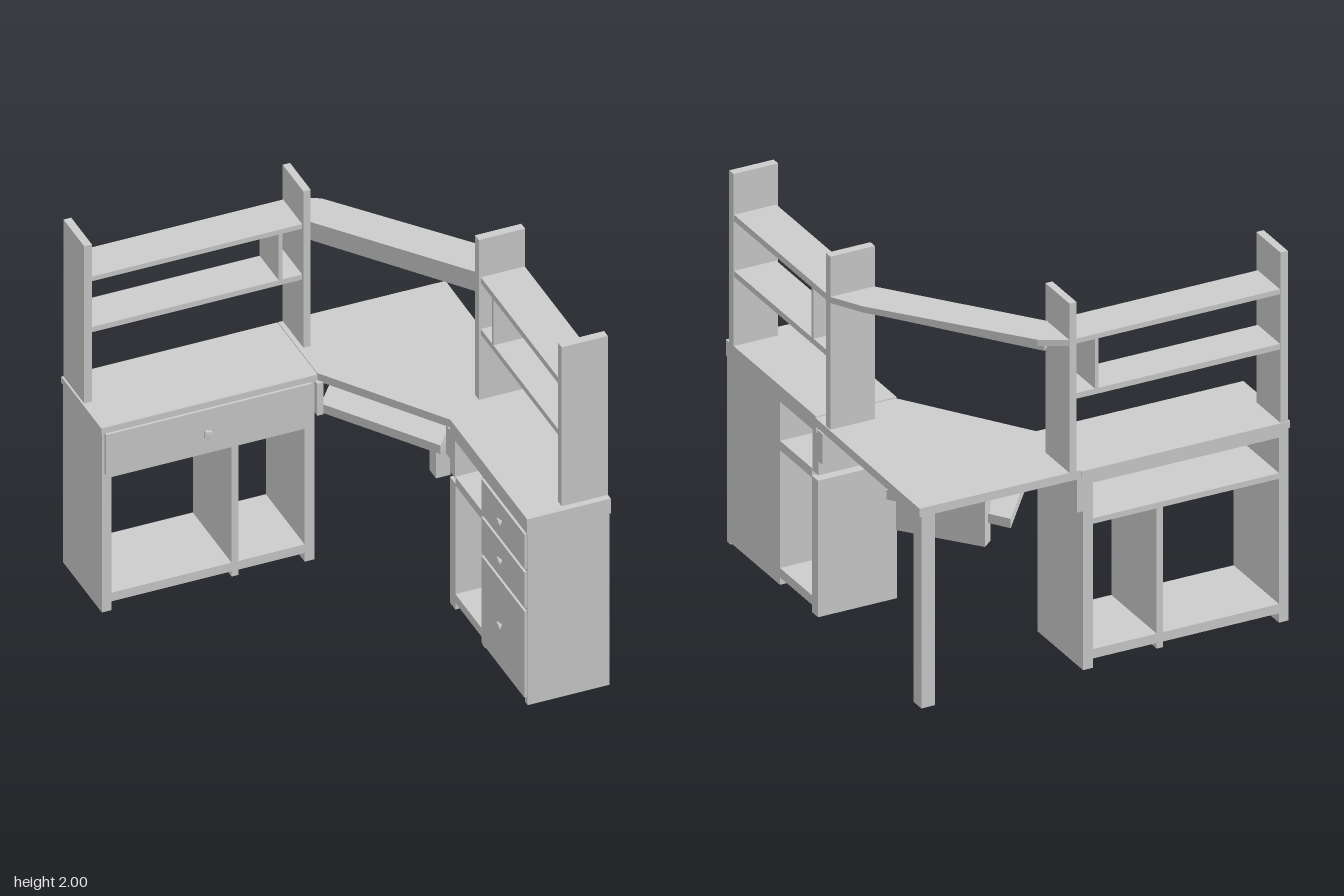
import * as THREE from 'three';

const material = new THREE.MeshStandardMaterial({ color: 0xcccccc, flatShading: true });

export function createModel() {
  const model = new THREE.Group();
  model.name = 'cornerDesk';

  const add = (name, geometry, parent = model) => {
    const mesh = new THREE.Mesh(geometry, material);
    mesh.name = name;
    parent.add(mesh);
    return mesh;
  };
  // Board given by its extents on each axis
  const board = (name, [x0, x1], [y0, y1], [z0, z1], parent) => {
    const g = new THREE.BoxGeometry(x1 - x0, y1 - y0, z1 - z0);
    g.translate((x0 + x1) / 2, (y0 + y1) / 2, (z0 + z1) / 2);
    return add(name, g, parent);
  };
  // Flat board with an angled outline given as [x, z] corners
  const slab = (name, corners, y0, y1, parent) => {
    const shape = new THREE.Shape(corners.map(([x, z]) => new THREE.Vector2(x, -z)));
    const g = new THREE.ExtrudeGeometry(shape, { depth: y1 - y0, bevelEnabled: false });
    g.rotateX(-Math.PI / 2).translate(0, y0, 0);
    return add(name, g, parent);
  };
  // Knob pointing along +z before the given turn about y
  const knob = (name, x, y, z, turn, parent) => {
    const profile = [[0, 0], [0.012, 0], [0.01, 0.018], [0.024, 0.026], [0.022, 0.034], [0, 0.036]];
    const g = new THREE.LatheGeometry(profile.map(p => new THREE.Vector2(...p)), 12);
    g.rotateX(Math.PI / 2).rotateY(turn).translate(x, y, z);
    return add(name, g, parent);
  };
  const group = name => {
    const g = new THREE.Group();
    g.name = name;
    model.add(g);
    return g;
  };

  // Back wing: open kneehole cabinet with one wide drawer
  const back = group('backWing');
  const depth = [-0.99, -0.53];
  board('worktop', [-1, 0.125], [1.035, 1.07], [-1, -0.525], back);
  for (const x of [[-0.995, -0.945], [0.06, 0.112]]) board('sidePanel', x, [0, 1.035], depth, back);
  board('divider', [-0.32, -0.285], [0.02, 0.77], depth, back);
  board('bottomShelf', [-0.945, 0.06], [0.05, 0.1], depth, back);
  board('drawerShelf', [-0.945, 0.06], [0.77, 0.8], depth, back);
  board('drawerFront', [-0.98, 0.09], [0.8, 1.035], [-0.53, -0.512], back);
  board('topRail', [-0.945, 0.06], [0.99, 1.035], [-0.99, -0.96], back);
  board('trayRail', [0.112, 0.145], [0.85, 1.035], [-0.99, -0.5], back);
  knob('drawerKnob', -0.46, 0.908, -0.512, 0, back);

  // Side wing: closed drawer pedestal beside an open shelf bay
  const side = group('sideWing');
  board('worktop', [0.545, 0.98], [0.995, 1.08], [0.085, 1], side);
  board('pedestal', [0.55, 0.975], [0.05, 0.995], [0.46, 0.995], side);
  board('skirt', [0.55, 0.975], [0, 0.05], [0.96, 0.995], side);
  board('skirt', [0.55, 0.975], [0.01, 0.05], [0.46, 0.49], side);
  board('skirt', [0.945, 0.975], [0.01, 0.05], [0.49, 0.96], side);
  for (const [y0, y1, yk] of [[0.04, 0.54, 0.285], [0.56, 0.765, 0.66], [0.785, 0.985, 0.885]]) {
    board('drawerFront', [0.537, 0.55], [y0, y1], [0.475, 0.985], side);
    knob('drawerKnob', 0.55, yk, 0.71, -Math.PI / 2, side);
  }
  board('endPanel', [0.55, 0.975], [0.01, 0.74], [0.075, 0.138], side);
  board('bottomShelf', [0.55, 0.975], [0.05, 0.1], [0.138, 0.46], side);
  board('upperShelf', [0.55, 0.975], [0.73, 0.78], [0.138, 0.46], side);
  board('upperPanel', [0.55, 0.975], [0.77, 0.995], [0.072, 0.133], side);
  board('trayRail', [0.55, 0.975], [0.845, 1.01], [0.028, 0.08], side);

  // Corner: angled worktop, rear leg, slide-out tray and its rear panel
  const corner = group('corner');
  slab('worktop', [[0.125, -0.53], [0.55, 0.085], [0.985, 0.085], [0.995, -0.99], [0.125, -0.995]], 1.03, 1.075, corner);
  board('rearLeg', [0.91, 0.985], [0.005, 1.03], [-0.99, -0.91], corner);
  slab('keyboardTray', [[0.14, -0.52], [0.52, 0.03], [0.88, -0.44], [0.5, -0.985]], 0.85, 0.9, corner);
  slab('rearPanel', [[0.546, -0.866], [0.836, -0.511], [0.89, -0.555], [0.6, -0.91]], 0.74, 1.03, corner);

  // Back hutch
  const backHutch = group('backHutch');
  for (const x of [[-0.99, -0.95], [0.15, 0.188]]) board('upright', x, [1.07, 1.98], [-0.995, -0.75], backHutch);
  for (const y of [[1.46, 1.49], [1.755, 1.782]]) board('shelf', [-0.95, 0.15], y, [-0.99, -0.765], backHutch);
  board('divider', [0.028, 0.048], [1.49, 1.755], [-0.99, -0.765], backHutch);

  // Side hutch
  const sideHutch = group('sideHutch');
  for (const z of [[0.92, 0.965], [-0.06, -0.015]]) board('upright', [0.74, 0.98], [1.075, 2], z, sideHutch);
  for (const y of [[1.45, 1.482], [1.748, 1.782]]) board('shelf', [0.75, 0.978], y, [-0.015, 0.92], sideHutch);
  board('divider', [0.75, 0.978], [1.482, 1.748], [0.114, 0.134], sideHutch);

  // Angled bridge shelf joining the hutches, with the box beneath it
  const bridge = group('bridge');
  slab('bridgeShelf', [[0.188, -0.765], [0.745, -0.06], [0.98, -0.06], [0.89, -0.22], [0.32, -0.92], [0.188, -0.99]], 1.752, 1.785, bridge);
  slab('bridgeValance', [[0.19, -0.785], [0.75, -0.06], [0.8, -0.09], [0.24, -0.84]], 1.67, 1.752, bridge);

  return model;
}
